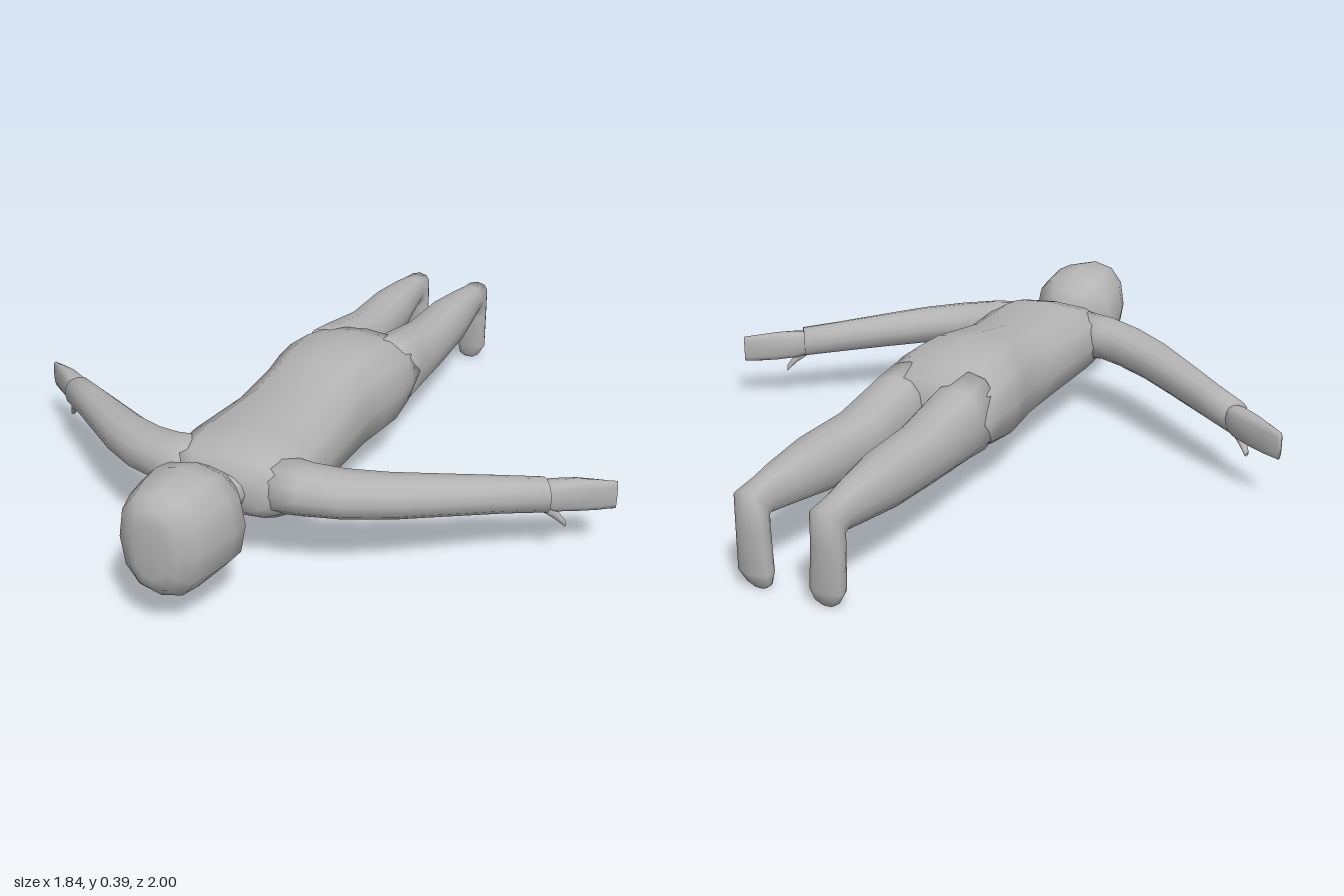
import * as THREE from 'three';

const SIDES = 12;

// Skin a row of rounded cross-sections: [x, y, z, halfWidth, halfHeight, yaw, tilt] (angles in degrees).
// power 1 gives ellipses, smaller values give boxier sections.
function loft(sections, power = 1, mirror = 1) {
  const pos = [], idx = [];
  const soft = (v) => Math.sign(v) * Math.pow(Math.abs(v), power);
  for (const [x, y, z, a, b, yaw = 0, tilt = 0] of sections) {
    const w = THREE.MathUtils.degToRad(yaw), t = THREE.MathUtils.degToRad(tilt);
    for (let i = 0; i < SIDES; i++) {
      const ang = (i / SIDES) * Math.PI * 2;
      const p = a * soft(Math.cos(ang)), q = b * soft(Math.sin(ang));
      pos.push(mirror * (x + p * Math.cos(w)), y + q * Math.cos(t), z + p * Math.sin(w) + q * Math.sin(t));
    }
  }
  const last = sections.length - 1;
  for (let r = 0; r < last; r++) {
    for (let i = 0; i < SIDES; i++) {
      const j = (i + 1) % SIDES, a = r * SIDES, b = a + SIDES;
      idx.push(a + i, a + j, b + j, a + i, b + j, b + i);
    }
  }
  // End caps
  for (const r of [0, last]) {
    const c = pos.length / 3, o = r * SIDES;
    pos.push(mirror * sections[r][0], sections[r][1], sections[r][2]);
    for (let i = 0; i < SIDES; i++) {
      const j = (i + 1) % SIDES;
      if (r === 0) idx.push(c, o + j, o + i);
      else idx.push(c, o + i, o + j);
    }
  }
  // Turn the faces outward whichever way the sections run
  let volume = 0;
  const v = (k) => new THREE.Vector3().fromArray(pos, idx[k] * 3);
  for (let k = 0; k < idx.length; k += 3) volume += v(k).dot(v(k + 1).cross(v(k + 2)));
  if (volume < 0) idx.reverse();
  const geo = new THREE.BufferGeometry();
  geo.setAttribute('position', new THREE.Float32BufferAttribute(pos, 3));
  geo.setIndex(idx);
  geo.computeVertexNormals();
  return geo;
}

export function createModel() {
  const model = new THREE.Group();
  model.name = 'flyingFigure';
  const grey = new THREE.MeshStandardMaterial({ color: 0xb4b4b4 });
  grey.name = 'plain grey';
  const add = (name, sections, power, mirror) => {
    const mesh = new THREE.Mesh(loft(sections, power, mirror), grey);
    mesh.name = name;
    model.add(mesh);
  };

  // Head, crown forward and face down
  add('head', [
    [0, 0.245, 0.68, 0.04, 0.06],
    [0, 0.245, 0.71, 0.09, 0.1],
    [0, 0.235, 0.77, 0.138, 0.148],
    [0, 0.245, 0.83, 0.142, 0.152],
    [0, 0.245, 0.9, 0.13, 0.15],
    [0, 0.243, 0.96, 0.112, 0.142],
    [0, 0.245, 0.99, 0.075, 0.115],
    [0, 0.245, 1.0, 0.045, 0.08],
  ], 0.85);

  add('neck', [
    [0, 0.245, 0.58, 0.1, 0.07],
    [0, 0.245, 0.65, 0.075, 0.055],
    [0, 0.25, 0.69, 0.06, 0.05],
    [0, 0.25, 0.75, 0.07, 0.06],
  ]);

  // Torso from shoulders to hips
  add('torso', [
    [0, 0.245, 0.655, 0.13, 0.055],
    [0, 0.245, 0.62, 0.18, 0.085],
    [0, 0.238, 0.56, 0.195, 0.108],
    [0, 0.238, 0.48, 0.195, 0.117],
    [0, 0.23, 0.25, 0.178, 0.126],
    [0, 0.238, 0.08, 0.175, 0.146],
    [0, 0.242, 0, 0.186, 0.152],
    [0, 0.242, -0.1, 0.2, 0.148],
    [0, 0.24, -0.2, 0.193, 0.128],
    [0, 0.24, -0.28, 0.184, 0.108],
  ], 0.75);

  for (const [side, s] of [['left', 1], ['right', -1]]) {
    // Leg bending down into the foot
    add(side + 'Leg', [
      [0.097, 0.24, -0.2, 0.085, 0.12],
      [0.098, 0.238, -0.3, 0.087, 0.105],
      [0.101, 0.226, -0.5, 0.08, 0.081],
      [0.105, 0.233, -0.7, 0.072, 0.075],
      [0.109, 0.237, -0.85, 0.053, 0.058],
      [0.11, 0.237, -0.925, 0.042, 0.048],
      [0.11, 0.23, -0.968, 0.045, 0.055, 0, -34],
      [0.11, 0.17, -0.969, 0.045, 0.031, 0, -90],
      [0.106, 0.05, -0.971, 0.049, 0.029, 0, -90],
      [0.1, 0.015, -0.967, 0.035, 0.016, 0, -90],
      [0.1, 0.003, -0.967, 0.018, 0.008, 0, -90],
    ], 0.8, s);

    // Arm swept out and back, ending in a cuff
    add(side + 'Arm', [
      [0.12, 0.25, 0.565, 0.085, 0.075, 90],
      [0.21, 0.25, 0.562, 0.082, 0.065, 88],
      [0.3, 0.242, 0.53, 0.077, 0.061, 68],
      [0.41, 0.232, 0.468, 0.068, 0.058, 55],
      [0.52, 0.22, 0.388, 0.06, 0.054, 53],
      [0.65, 0.205, 0.292, 0.05, 0.05, 53],
      [0.75, 0.193, 0.222, 0.044, 0.048, 53],
    ], 0.9, s);

    // Flat hand held edge-on
    add(side + 'Hand', [
      [0.72, 0.195, 0.235, 0.025, 0.034, 57],
      [0.765, 0.187, 0.205, 0.033, 0.045, 57],
      [0.82, 0.183, 0.167, 0.027, 0.048, 58],
      [0.87, 0.178, 0.136, 0.018, 0.046, 60],
      [0.914, 0.175, 0.11, 0.009, 0.042, 60],
    ], 0.75, s);

    // Thumb pointing down
    add(side + 'Thumb', [
      [0.74, 0.165, 0.23, 0.013, 0.02, 57],
      [0.775, 0.135, 0.21, 0.014, 0.016, 57],
      [0.8, 0.1, 0.19, 0.008, 0.01, 57],
    ], 0.9, s);
  }
  return model;
}
